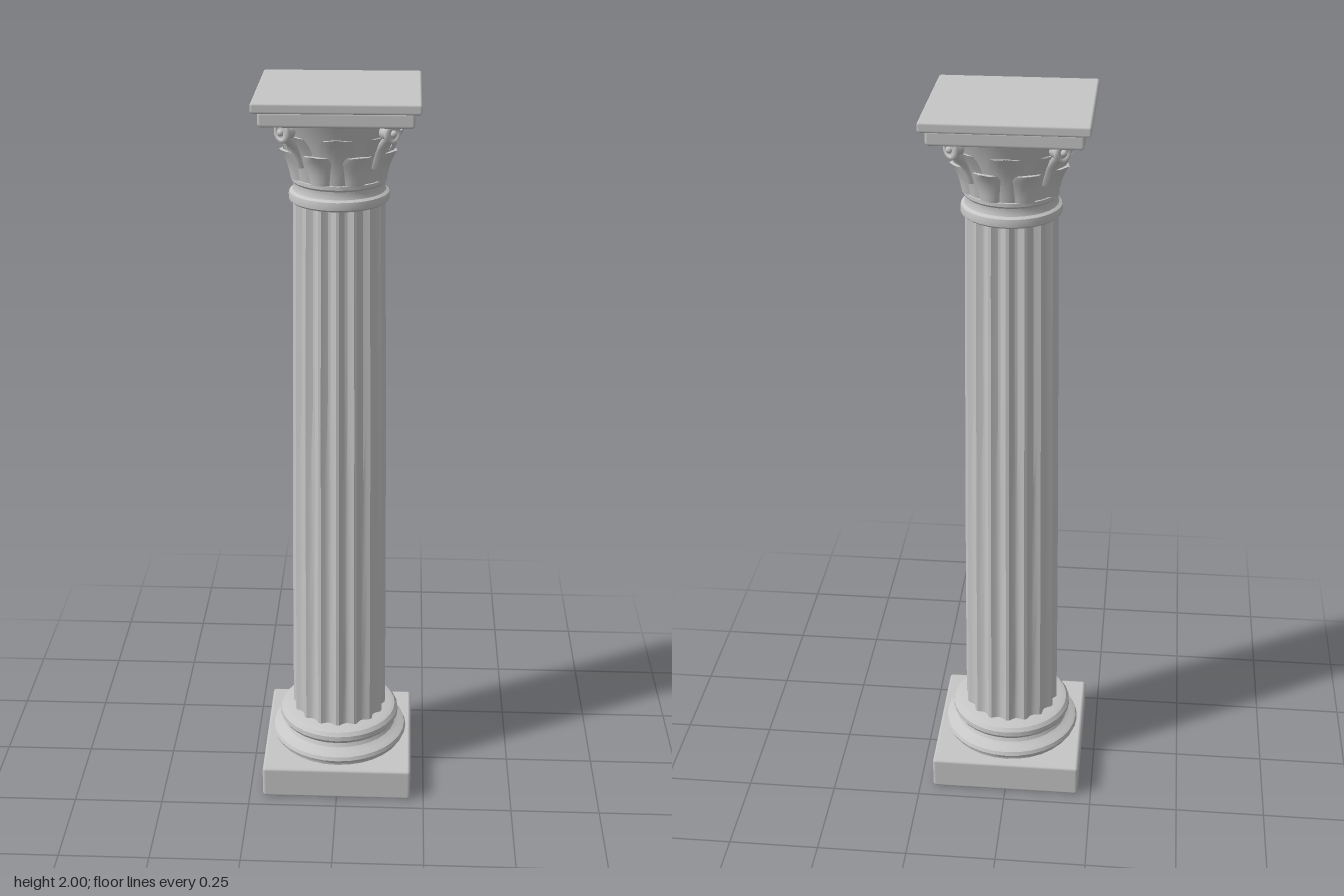
import * as THREE from 'three';
import { toCreasedNormals } from 'three/addons/utils/BufferGeometryUtils.js';
import { RoundedBoxGeometry } from 'three/addons/geometries/RoundedBoxGeometry.js';

const stone = new THREE.MeshStandardMaterial({ color: 0xc6c6c6 });
stone.name = 'stone';
stone.side = THREE.DoubleSide;

function add(parent, name, geometry) {
  const mesh = new THREE.Mesh(geometry, stone);
  mesh.name = name;
  parent.add(mesh);
  return mesh;
}

// Square slab with bevelled edges, between two heights
function slab(parent, name, half, y0, y1, bevel) {
  const geo = new RoundedBoxGeometry(half * 2, y1 - y0, half * 2, 1, bevel);
  add(parent, name, geo).position.y = (y0 + y1) / 2;
}

// Turned moulding from [radius, height] points
function turned(parent, name, points) {
  const geo = new THREE.LatheGeometry(points.map(p => new THREE.Vector2(...p)), 32);
  add(parent, name, toCreasedNormals(geo, 0.5));
}

// Grid surface from a rule p(u, v) -> Vector3
function surface(nu, nv, p) {
  const geo = new THREE.PlaneGeometry(1, 1, nu, nv);
  const pos = geo.attributes.position;
  for (let i = 0; i < pos.count; i++) {
    const q = p(pos.getX(i) + 0.5, pos.getY(i) + 0.5);
    pos.setXYZ(i, q.x, q.y, q.z);
  }
  return toCreasedNormals(geo, 0.45);
}

const polar = (a, r, y) => new THREE.Vector3(Math.sin(a) * r, y, Math.cos(a) * r);

// Tapering shaft: each flute has a narrow ridge and a shallow hollow
function shaft(parent) {
  const flutes = 16, steps = 6;
  const hollow = [0, 0, 0.6, 1, 1, 0.6];
  const geo = surface(flutes * steps, 8, (u, v) => {
    const k = Math.round(u * flutes * steps);
    const r = 0.134 - 0.016 * Math.pow(v, 1.4);
    const a = (k - 0.5) / (flutes * steps) * Math.PI * 2;
    return polar(a, r - 0.011 * hollow[k % steps], 0.19 + v * 1.53);
  });
  add(parent, 'flutedShaft', geo);
}

// Radius of the capital's bell at a height
const bellRadius = y => {
  const t = (y - 1.775) / 0.165;
  return 0.112 + 0.026 * t + 0.026 * t * t;
};

// Broad rounded leaf hugging the bell, its tip curling outward
function leaf(parent, name, angle, halfWidth, y0, y1, lift, curl) {
  const geo = surface(6, 7, (u, v) => {
    const s = u * 2 - 1;
    const width = halfWidth * (0.8 + 0.4 * v) * Math.sqrt(Math.max(0, 1 - Math.pow(v, 3.5)));
    const y = y0 + (y1 - y0) * Math.min(v, 1.9 - v);
    const r = bellRadius(y) + lift * (1 - 0.75 * s * s) + curl * v * v * v;
    return polar(angle + s * width, r, y);
  });
  add(parent, name, geo);
}

// Corner scroll: rolled rim, disc and central eye facing the diagonal
function volute(parent, angle) {
  const g = new THREE.Group();
  g.name = 'cornerScroll';
  g.position.copy(polar(angle, 0.19, 1.914));
  g.rotation.y = angle;
  add(g, 'scrollRim', new THREE.TorusGeometry(0.02, 0.007, 6, 16));
  const disc = add(g, 'scrollDisc', new THREE.CylinderGeometry(0.019, 0.019, 0.03, 16));
  disc.rotation.x = Math.PI / 2;
  disc.position.z = -0.012;
  add(g, 'scrollEye', new THREE.SphereGeometry(0.009, 10, 6)).position.z = 0.005;
  parent.add(g);

  // Stem sweeping from the bell up to the scroll
  const path = new THREE.CatmullRomCurve3([
    polar(angle, 0.125, 1.82), polar(angle, 0.145, 1.865), polar(angle, 0.178, 1.905),
  ]);
  add(parent, 'scrollStem', new THREE.TubeGeometry(path, 8, 0.013, 6));
}

export function createModel() {
  const column = new THREE.Group();
  column.name = 'column';

  // Base
  slab(column, 'plinth', 0.212, 0, 0.096, 0.009);
  turned(column, 'baseMoulding', [
    [0, 0.094], [0.185, 0.094], [0.185, 0.103], [0.192, 0.106], [0.196, 0.116],
    [0.192, 0.126], [0.184, 0.131], [0.176, 0.134], [0.164, 0.142], [0.158, 0.155],
    [0.166, 0.158], [0.172, 0.168], [0.171, 0.181], [0.163, 0.191], [0.15, 0.196], [0, 0.196],
  ]);

  shaft(column);

  // Neck rings
  turned(column, 'neckRing', [
    [0, 1.712], [0.123, 1.712], [0.129, 1.717], [0.13, 1.727], [0.128, 1.737],
    [0.12, 1.742], [0.117, 1.752], [0.118, 1.762], [0.122, 1.767], [0.122, 1.776], [0, 1.776],
  ]);

  // Capital
  const capital = new THREE.Group();
  capital.name = 'capital';
  column.add(capital);
  const bell = [];
  for (let i = 0; i <= 6; i++) {
    const y = 1.775 + 0.165 * i / 6;
    bell.push([bellRadius(y), y]);
  }
  turned(capital, 'bell', bell);
  for (let i = 0; i < 8; i++) {
    const a = i * Math.PI / 4;
    leaf(capital, 'upperLeaf', a, 0.33, 1.778, 1.918, 0.009, 0.016);
    leaf(capital, 'lowerLeaf', a + Math.PI / 8, 0.32, 1.777, 1.865, 0.016, 0.015);
  }
  for (let i = 0; i < 4; i++) volute(capital, Math.PI / 4 + i * Math.PI / 2);

  // Abacus
  slab(capital, 'abacusLower', 0.19, 1.937, 1.976, 0.008);
  slab(capital, 'abacusUpper', 0.206, 1.974, 2.0, 0.006);
  return column;
}
